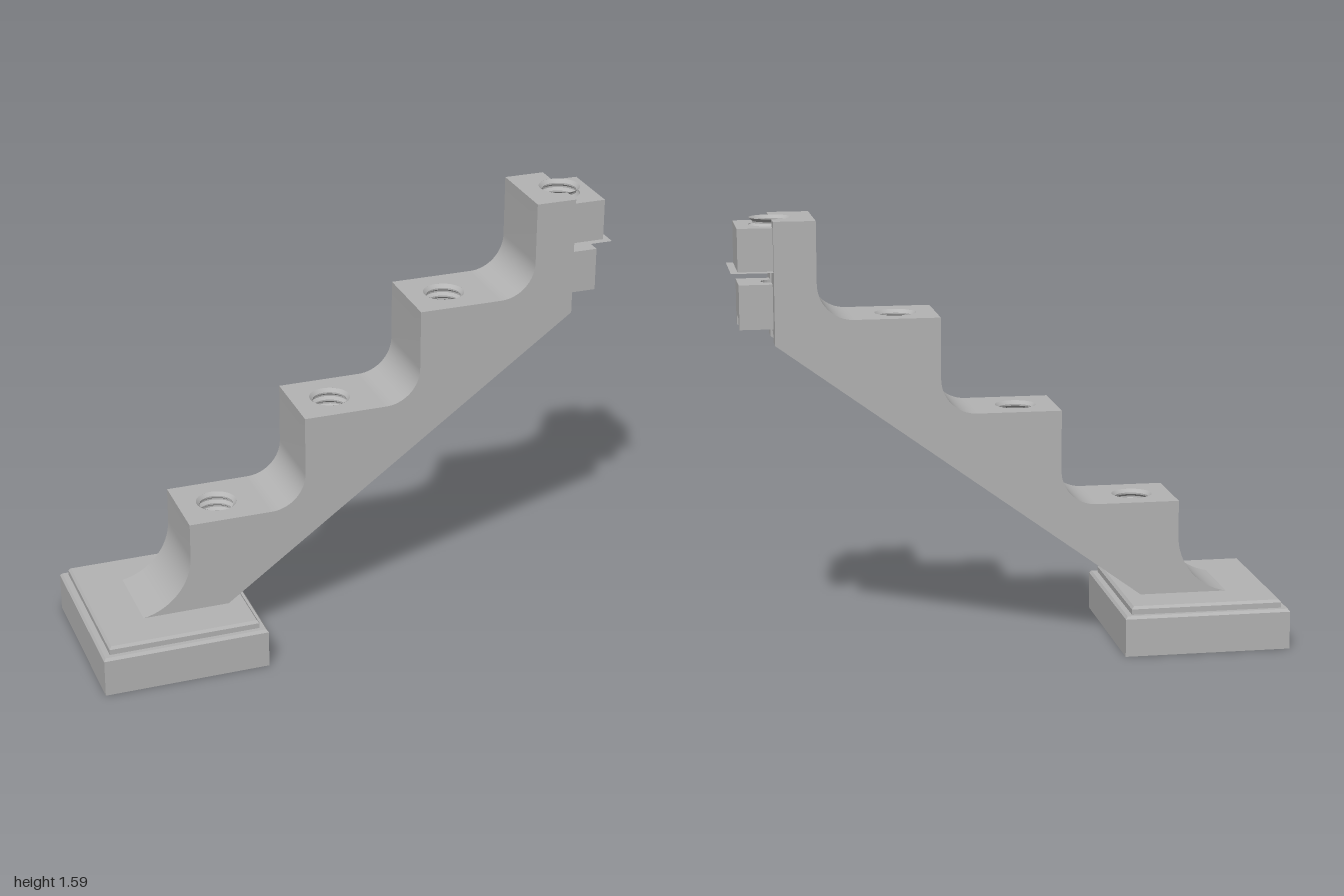
import * as THREE from 'three';
import { toCreasedNormals } from 'three/addons/utils/BufferGeometryUtils.js';

const HALF = 0.148, END = 0.85, TOP = 1.59;      // arm half width, end face, top
const WIDE = 0.073, NARROW = 0.045;              // half widths of the stepped slot
const THREAD = 0.075, BORE = 0.037, DEPTH = 0.165;
const SLOPE = 0.97 / 1.33;
const under = (x, off = 0) => 1.15 + off + SLOPE * (x - END);
const ceiling = (x) => (x > -0.26 ? under(x, 0.085) : 0.3 + (x + 0.58) * 0.2);
const stepX = (k) => -0.62 + 0.44 * k;
const stepY = (k) => (k === 3 ? TOP : 0.53 + 0.353 * k);
const holeX = (k) => (k === 3 ? END : -0.475 + 0.44 * k);

const polygon = (pts) => new THREE.Shape(pts.map((p) => new THREE.Vector2(p[0], p[1])));

// faces from a list of four-cornered patches
function quads(list) {
  const pos = [];
  for (const [a, b, c, d] of list) pos.push(...a, ...b, ...c, ...a, ...c, ...d);
  const g = new THREE.BufferGeometry();
  g.setAttribute('position', new THREE.Float32BufferAttribute(pos, 3));
  return toCreasedNormals(g, 0.5);
}

// a path in the side plane swept from z0 to z1
function sheet(pts, z0, z1) {
  const list = [];
  for (let i = 0; i < pts.length - 1; i++) {
    const [p, q] = [pts[i], pts[i + 1]];
    list.push([[...p, z0], [...p, z1], [...q, z1], [...q, z0]]);
  }
  return quads(list);
}

function arc(cx, cy, r, a0, a1, n = 16) {
  return Array.from({ length: n + 1 }, (_, i) => {
    const a = a0 + ((a1 - a0) * i) / n;
    return [cx + r * Math.cos(a), cy + r * Math.sin(a)];
  });
}

// rectangle in plan, with a half-round bite in one end or round holes
function plan(x0, x1, hz, { left = 0, right = 0, holes = [], r = BORE } = {}) {
  const s = new THREE.Shape();
  s.moveTo(x0, -hz);
  s.lineTo(x1, -hz);
  if (right) {
    s.lineTo(x1, -right);
    s.absarc(x1, 0, right, -Math.PI / 2, Math.PI / 2, true);
  }
  s.lineTo(x1, hz);
  s.lineTo(x0, hz);
  if (left) {
    s.lineTo(x0, left);
    s.absarc(x0, 0, left, Math.PI / 2, -Math.PI / 2, true);
  }
  s.closePath();
  for (const x of holes) s.holes.push(new THREE.Path().absarc(x, 0, r, 0, Math.PI * 2, true));
  return s;
}

const flatUp = (shape, y) => new THREE.ShapeGeometry(shape, 20).rotateX(-Math.PI / 2).translate(0, y, 0);
const slab = (shape, y, h) => toCreasedNormals(
  new THREE.ExtrudeGeometry(shape, { depth: h, bevelEnabled: false, curveSegments: 20 })
    .rotateX(-Math.PI / 2).translate(0, y, 0), 0.5);

// downward face that follows the slot ceiling
function ceilingFace(shape) {
  const g = new THREE.ShapeGeometry(shape, 20).rotateX(Math.PI / 2);
  const p = g.attributes.position;
  for (let i = 0; i < p.count; i++) p.setY(i, ceiling(p.getX(i)));
  g.computeVertexNormals();
  return g;
}

export function createModel() {
  const model = new THREE.Group();
  const grey = new THREE.MeshStandardMaterial({ color: 0xb4b4b4, side: THREE.DoubleSide });
  grey.name = 'grey';
  const add = (name, geometry, parent = model) => {
    const m = new THREE.Mesh(geometry, grey);
    m.name = name;
    parent.add(m);
    return m;
  };
  const group = (name) => {
    const g = new THREE.Group();
    g.name = name;
    model.add(g);
    return g;
  };

  // stepped, chamfered base
  const rings = [[0.3075, 0.33, 0], [0.3075, 0.33, 0.14], [0.3, 0.322, 0.15], [0.28, 0.305, 0.15],
    [0.28, 0.305, 0.17], [0.272, 0.297, 0.18]].map(([hx, hz, y]) =>
    [[-hx, y, hz], [hx, y, hz], [hx, y, -hz], [-hx, y, -hz]]);
  const baseFaces = [rings[5], [...rings[0]].reverse()];
  for (let i = 0; i < 5; i++) {
    for (let j = 0; j < 4; j++) {
      const k = (j + 1) % 4;
      baseFaces.push([rings[i][j], rings[i][k], rings[i + 1][k], rings[i + 1][j]]);
    }
  }
  add('base', quads(baseFaces)).position.x = -0.6925;

  // risers with concave feet, and flat treads with holes
  const arm = group('steppedArm');
  const profile = [];
  for (let k = 0; k < 4; k++) {
    const foot = k === 0
      ? arc(-0.84, 0.397, 0.22, -1.405, 0)
      : arc(stepX(k) - 0.13, stepY(k - 1) + 0.13, 0.13, -Math.PI / 2, 0);
    const riser = [...foot, [stepX(k), stepY(k)]];
    add('riser', sheet(riser, -HALF, HALF), arm);
    profile.push(...riser);
    const tread = k === 3
      ? plan(stepX(3), END, HALF, { right: THREAD })
      : plan(stepX(k), stepX(k + 1) - 0.13, HALF, { holes: [holeX(k)], r: THREAD });
    add('tread', flatUp(tread, stepY(k)), arm);
  }
  profile.push([END, TOP], [END, 1.15], [-0.48, 0.18]);

  // pieces mirrored front to back: cheeks, end face, underside, slot steps and walls
  const slopeLine = (off) => [[END, under(END, off)], [END + (0.18 - 1.15 - off) / SLOPE, 0.18]];
  const [o0, o1] = slopeLine(0), [w0, w1] = slopeLine(0.028);
  const endHalf = [[-HALF, 1.15], [-HALF, TOP], [-THREAD, TOP], [-THREAD, TOP - DEPTH], [-BORE, TOP - DEPTH],
    [-BORE, 1.235], [-NARROW, 1.235], [-NARROW, w0[1]], [-WIDE, w0[1]], [-WIDE, 1.15]];
  const pocket = [[-0.225, ceiling(-0.225)], [-0.3, ceiling(-0.3)]];
  const wall = [w0, [END, 1.235], ...pocket, [-0.58, 0.3], [-0.58, 0.18], w1];
  for (const side of [1, -1]) {
    const half = new THREE.Group();
    half.name = side > 0 ? 'frontHalf' : 'backHalf';
    half.scale.z = side;
    arm.add(half);
    add('cheek', new THREE.ShapeGeometry(polygon(profile)).translate(0, 0, HALF), half);
    add('endFace', new THREE.ShapeGeometry(polygon(endHalf)).rotateY(Math.PI / 2).translate(END, 0, 0), half);
    add('underside', sheet([o0, o1], WIDE, HALF), half);
    add('slotShelf', sheet([w0, w1], NARROW, WIDE), half);
    add('outerSlotWall', new THREE.ShapeGeometry(polygon([o0, w0, w1, o1])).translate(0, 0, WIDE), half);
    add('innerSlotWall', new THREE.ShapeGeometry(polygon(wall)).translate(0, 0, NARROW), half);
  }

  // slot ceiling and the pocket at its lower end
  add('slotCeiling', ceilingFace(plan(-0.225, END, NARROW, { right: BORE, holes: [holeX(1), holeX(2)] })), arm);
  add('pocketCeiling', ceilingFace(plan(-0.58, -0.3, NARROW, { holes: [holeX(0)] })), arm);
  add('pocketSlope', sheet(pocket, -NARROW, NARROW), arm);
  add('pocketEnd', sheet([[-0.58, 0.3], [-0.58, 0.18]], -NARROW, NARROW), arm);

  // threaded holes stepping down to plain bores
  for (let k = 0; k < 4; k++) {
    const y = stepY(k), floor = y - DEPTH, x = holeX(k);
    const hole = group('threadedHole');
    const pts = [new THREE.Vector2(THREAD, y)];
    for (let i = 0; i < 5; i++) {
      const t = y - 0.012 - i * 0.03;
      pts.push(new THREE.Vector2(0.062, t), new THREE.Vector2(0.062, t - 0.006),
        new THREE.Vector2(0.074, t - 0.015), new THREE.Vector2(0.074, t - 0.021));
    }
    pts.push(new THREE.Vector2(0.062, floor), new THREE.Vector2(BORE, floor));
    add('thread', toCreasedNormals(new THREE.LatheGeometry(pts, 32), 0.5), hole).position.x = x;

    const line = [new THREE.Vector2(BORE, floor), new THREE.Vector2(BORE, 0)];
    const bore = k === 3
      ? new THREE.LatheGeometry(line, 16, Math.PI, Math.PI)
      : new THREE.LatheGeometry(line, 28);
    const p = bore.attributes.position;
    for (let i = 0; i < p.count; i++) if (p.getY(i) === 0) p.setY(i, ceiling(x + p.getX(i)));
    add('bore', bore, hole).position.x = x;
  }

  // blocks on the end face, with a thin plate under the upper one
  const blocks = group('endBlocks');
  add('upperBlock', slab(plan(END, 0.975, 0.125, { left: THREAD }), 1.412, 0.153), blocks);
  add('thinPlate', flatUp(plan(END, 1, HALF, { left: BORE }), 1.41), blocks);
  add('lowerBlock', slab(plan(END, 0.97, 0.086, { left: BORE }), 1.235, 0.125), blocks);
  for (const side of [1, -1]) {
    add('lowerBlockLeg', new THREE.BoxGeometry(0.12, 0.035, 0.041), blocks)
      .position.set(0.91, 1.2175, side * 0.0655);
  }
  return model;
}
